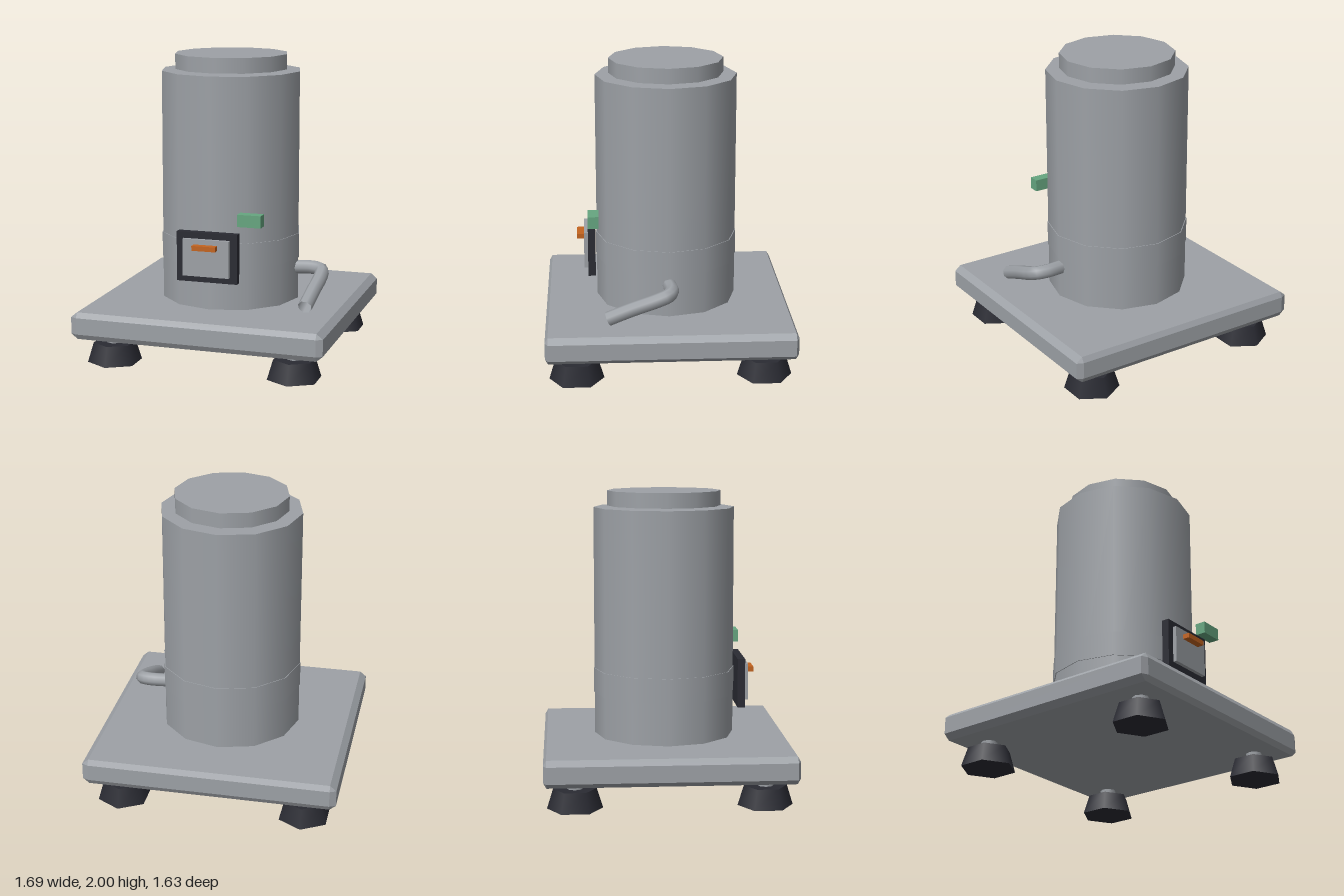
import * as THREE from 'three';
import { ConvexGeometry } from 'three/addons/geometries/ConvexGeometry.js';

const material = (name, color, extra = {}) => {
  const m = new THREE.MeshStandardMaterial({ color, ...extra });
  m.name = name;
  return m;
};

// Box whose edges and corners are cut by a different amount on each axis
function chamferedBox(w, h, d, cx, cy, cz) {
  const points = [];
  for (const sx of [-1, 1]) for (const sy of [-1, 1]) for (const sz of [-1, 1]) {
    const x = w / 2, y = h / 2, z = d / 2;
    points.push(
      new THREE.Vector3(sx * x, sy * (y - cy), sz * (z - cz)),
      new THREE.Vector3(sx * (x - cx), sy * y, sz * (z - cz)),
      new THREE.Vector3(sx * (x - cx), sy * (y - cy), sz * z));
  }
  return new ConvexGeometry(points);
}

export function createModel() {
  const model = new THREE.Group();
  model.name = 'boiler';
  const steel = material('steel', 0x9da1a6);
  const pipeSteel = material('pipeSteel', 0x9da1a6, { side: THREE.DoubleSide });
  const dark = material('darkRubber', 0x2a2b33);
  const orange = material('orangeHandle', 0xc4641f);
  const green = material('greenIndicator', 0x66a680);

  const add = (name, geometry, mat, x, y, z) => {
    const mesh = new THREE.Mesh(geometry, mat);
    mesh.name = name;
    mesh.position.set(x, y, z);
    model.add(mesh);
    return mesh;
  };
  // Cylinder given by its bottom and top heights
  const drum = (name, rTop, rBottom, y0, y1, sides, mat, x = 0, z = 0) =>
    add(name, new THREE.CylinderGeometry(rTop, rBottom, y1 - y0, sides), mat, x, (y0 + y1) / 2, z);
  // Box given by its two extreme corners
  const block = (name, mat, x0, x1, y0, y1, z0, z1) =>
    add(name, new THREE.BoxGeometry(x1 - x0, y1 - y0, z1 - z0), mat,
      (x0 + x1) / 2, (y0 + y1) / 2, (z0 + z1) / 2);

  // Base plate
  add('basePlate', chamferedBox(1.69, 0.18, 1.63, 0.042, 0.035, 0.02), steel, 0, 0.27, 0);

  // Feet with short stems
  for (const x of [-0.615, 0.615]) for (const z of [-0.615, 0.615]) {
    drum('foot', 0.14, 0.18, 0, 0.13, 6, dark, x, z);
    drum('footStem', 0.053, 0.053, 0.12, 0.19, 8, steel, x, z);
  }

  // Tank, band around it and lid raised slightly above
  drum('tank', 0.47, 0.47, 0.36, 1.89, 12, steel);
  drum('tankBand', 0.475, 0.475, 0.64, 0.805, 12, steel);
  drum('lid', 0.38, 0.38, 1.9, 2, 12, steel);

  // Door, handle and indicator
  block('doorFrame', dark, -0.205, 0.205, 0.558, 0.886, 0.48, 0.53);
  block('doorPanel', steel, -0.157, 0.157, 0.6, 0.845, 0.53, 0.556);
  block('doorHandle', orange, -0.08, 0.08, 0.78, 0.812, 0.556, 0.602);
  block('indicator', green, 0.205, 0.363, 0.94, 1.02, 0.458, 0.53);

  // Drain pipe that turns forward and down
  const path = new THREE.CatmullRomCurve3([
    [0.45, 0.573, 0], [0.57, 0.575, -0.01], [0.635, 0.568, 0.015],
    [0.648, 0.54, 0.09], [0.638, 0.48, 0.25], [0.626, 0.413, 0.408],
  ].map((p) => new THREE.Vector3(...p)));
  add('drainPipe', new THREE.TubeGeometry(path, 20, 0.047, 8), pipeSteel, 0, 0, 0);

  return model;
}
